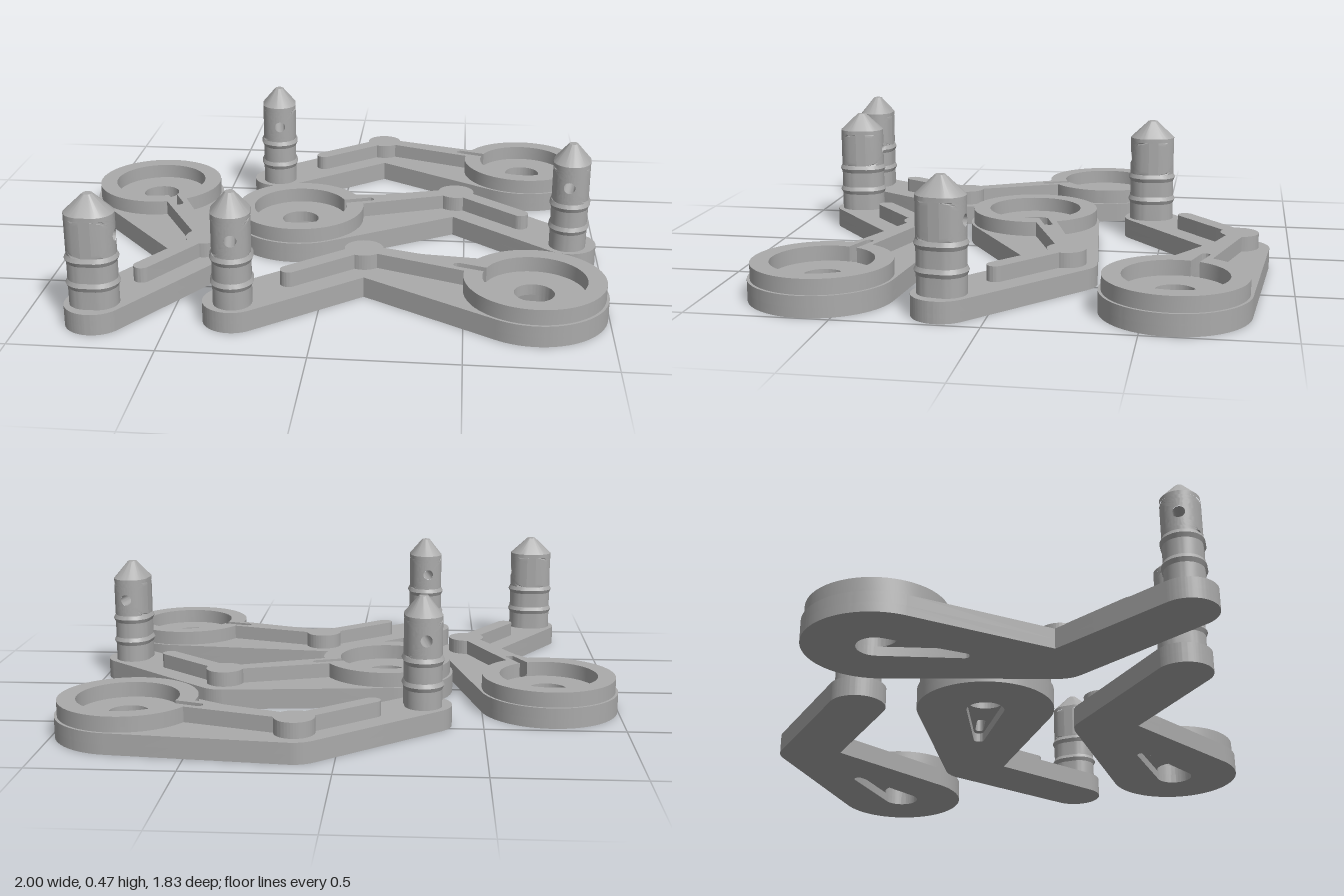
import * as THREE from 'three';
import { toCreasedNormals } from 'three/addons/utils/BufferGeometryUtils.js';
import { ParametricGeometry } from 'three/addons/geometries/ParametricGeometry.js';

const { PI, cos, sin, atan2, acos, asin, hypot } = Math;

// Arm plan: ring at the origin, bent elbow, pin at the tip (plan y = -z)
const ELBOW = [0.567, 0.29], TIP = [1.035, 0];
const R_RING = 0.255, R_ARM = 0.11, R_TIP = 0.105, R_HOLE = 0.07;
const BASE = 0.075, TOP = 0.13, POCKET = 0.035;
const A = atan2(ELBOW[1], ELBOW[0]);                          // ring to elbow
const B = atan2(TIP[1] - ELBOW[1], TIP[0] - ELBOW[0]);        // elbow to tip
const along = (p, ang, d) => [p[0] + cos(ang) * d, p[1] + sin(ang) * d];

// Pin cross-section: a stadium, half straight length S and end radius R
const S = 0.019, R = 0.067, HOLE_Y = 0.325, HALF = 0.065, PIN_HOLE = 0.021;

// Angle from a path to the normal of the tangent joining two circles
const spread = (c, r, d, q) => acos((r - q) / hypot(d[0] - c[0], d[1] - c[1]));

function capsule(from, to, r0, r1, ang) {
  const p = new THREE.Path(), f = spread(from, r0, to, r1);
  p.absarc(...from, r0, ang + f, ang - f + 2 * PI);
  p.absarc(...to, r1, ang - f, ang + f);
  p.closePath();
  return p;
}

function baseOutline() {
  const f = spread([0, 0], R_RING, ELBOW, R_ARM), g = spread(ELBOW, R_ARM, TIP, R_TIP);
  // Sharp inner corner where the two inner edges meet
  const n = A - f, m = B - g;
  const k1 = R_RING, k2 = cos(m) * ELBOW[0] + sin(m) * ELBOW[1] + R_ARM;
  const det = sin(m - n);
  const s = new THREE.Shape();
  s.absarc(0, 0, R_RING, A + f, A - f + 2 * PI);
  s.lineTo((k1 * sin(m) - k2 * sin(n)) / det, (k2 * cos(n) - k1 * cos(m)) / det);
  s.absarc(...TIP, R_TIP, B - g, B + g);
  s.absarc(...ELBOW, R_ARM, B + g, A + f);
  s.closePath();
  return s;
}

// Raised wall: cup ring, rib, elbow disc and rib towards the pin
function raisedOutline() {
  const w = 0.03, d = asin(0.04 / 0.245), e = asin(w / 0.07), slot = 0.016, c = asin(slot / 0.18);
  const s = new THREE.Shape();
  s.absarc(0, 0, 0.245, A + d, A - d + 2 * PI);
  s.absarc(...ELBOW, 0.07, A + PI + e, B - e + 2 * PI);
  s.absarc(...along(ELBOW, B, 0.325), w, B - PI / 2, B + PI / 2);
  s.absarc(...ELBOW, 0.07, B + e, A + PI - e);
  s.closePath();
  const cup = new THREE.Path();
  cup.absarc(0, 0, 0.18, A + c, A - c + 2 * PI);
  cup.absarc(...along([0, 0], A, 0.279), slot, A - PI / 2, A + PI / 2);
  cup.closePath();
  s.holes.push(cup);
  return s;
}

function slab(shape, y0, y1) {
  const g = new THREE.ExtrudeGeometry(shape, { depth: y1 - y0, bevelEnabled: false, curveSegments: 40 });
  return g.rotateX(-PI / 2).translate(0, y0, 0);
}

// Loft stadium sections given as [y, straight, radius], with a cap on top
function loft(levels) {
  const n = 48, pos = [], idx = [];
  for (const [y, s, r] of levels) for (let i = 0; i < n; i++) {
    const a = (i + 0.5) / n * 2 * PI;
    pos.push(r * cos(a), y, r * sin(a) + Math.sign(sin(a)) * s);
  }
  for (let j = 0; j < levels.length - 1; j++) for (let i = 0; i < n; i++) {
    const a = j * n + i, b = j * n + (i + 1) % n;
    idx.push(a, a + n, b, b, a + n, b + n);
  }
  const last = (levels.length - 1) * n;
  pos.push(0, levels[levels.length - 1][0], 0);
  for (let i = 0; i < n; i++) idx.push(last + n, last + (i + 1) % n, last + i);
  const g = new THREE.BufferGeometry();
  g.setAttribute('position', new THREE.Float32BufferAttribute(pos, 3));
  g.setIndex(idx);
  return g;
}

// Rounded pin face pierced by the round cross hole
function piercedFace() {
  return new ParametricGeometry((u, v, p) => {
    const a = -2 * PI * u, c = cos(a), s = sin(a), m = Math.max(Math.abs(c), Math.abs(s));
    const x = THREE.MathUtils.lerp(PIN_HOLE * c, R * c / m, v);
    const y = THREE.MathUtils.lerp(PIN_HOLE * s, HALF * s / m, v);
    p.set(x, y, S + Math.sqrt(Math.max(0, R * R - x * x)));
  }, 64, 8);
}

function pinParts() {
  const parts = [
    ['pinShaft', loft([[BASE, S, R], [0.14, S, R], [0.155, S, R + 0.007], [0.17, S, R],
      [0.23, S, R], [0.245, S, R + 0.007], [0.26, S, R]])],
    ['pinTip', loft([[HOLE_Y + HALF, S, R], [0.405, S, R], [0.47, 0.001, 0.016]])],
    ['pinHole', new THREE.CylinderGeometry(PIN_HOLE, PIN_HOLE, 0.166, 24, 1, true)
      .rotateX(PI / 2).scale(-1, 1, 1).translate(0, HOLE_Y, 0)],
  ];
  for (const side of [0, 1]) {
    parts.push(['pinFace', piercedFace().rotateY(side * PI).translate(0, HOLE_Y, 0)]);
    parts.push(['pinFlat', new THREE.PlaneGeometry(2 * S, 2 * HALF).translate(0, 0, R)
      .rotateY(PI / 2 + side * PI).translate(0, HOLE_Y, 0)]);
  }
  for (const [, g] of parts) g.translate(TIP[0], 0, -TIP[1]);
  return parts;
}

// Optionally mirror across x (keeping faces outward), then set normals
function finish(geo, mirror) {
  const g = geo.index ? geo.toNonIndexed() : geo;
  if (mirror) {
    const p = g.attributes.position;
    for (let i = 0; i < p.count; i += 3) {
      const b = [p.getX(i + 1), p.getY(i + 1), p.getZ(i + 1)];
      p.setXYZ(i + 1, p.getX(i + 2), p.getY(i + 2), p.getZ(i + 2));
      p.setXYZ(i + 2, ...b);
      for (let k = 0; k < 3; k++) p.setX(i + k, -p.getX(i + k));
    }
  }
  return toCreasedNormals(g, 0.4);
}

function createArm(material, mirror) {
  // Lower layer holds the teardrop pocket, upper layer the hole and slot
  const lower = baseOutline(), upper = baseOutline();
  lower.holes.push(capsule([0, 0], along([0, 0], A, 0.3), R_HOLE, 0.02, A));
  const hole = new THREE.Path();
  hole.absarc(0, 0, R_HOLE, 0, 2 * PI);
  upper.holes.push(hole, capsule(along([0, 0], A, 0.196), along([0, 0], A, 0.279), 0.016, 0.016, A));

  const arm = new THREE.Group();
  const parts = [
    ['armBottom', slab(lower, 0, POCKET)],
    ['armPlate', slab(upper, POCKET, BASE)],
    ['cupAndRib', slab(raisedOutline(), BASE, TOP)],
  ];
  const pin = new THREE.Group();
  pin.name = 'pin';
  const add = (group, [name, geo]) => {
    const mesh = new THREE.Mesh(finish(geo, mirror), material);
    mesh.name = name;
    group.add(mesh);
  };
  parts.forEach(p => add(arm, p));
  pinParts().forEach(p => add(pin, p));
  arm.add(pin);
  return arm;
}

export function createModel() {
  const model = new THREE.Group();
  model.name = 'leverSet';
  const grey = new THREE.MeshStandardMaterial({ color: 0xaaaaaa });
  grey.name = 'grey';
  // Name, ring position, turn, mirrored
  const layout = [
    ['backArm', 0.742, -0.602, 0.145, true],
    ['middleArm', -0.14, 0, -0.145, false],
    ['frontArm', 0.742, 0.6, 0.145, true],
    ['sideArm', -0.745, -0.225, -PI / 2, false],
  ];
  for (const [name, x, z, turn, mirror] of layout) {
    const arm = createArm(grey, mirror);
    arm.name = name;
    arm.position.set(x, 0, z);
    arm.rotation.y = turn;
    model.add(arm);
  }
  return model;
}
